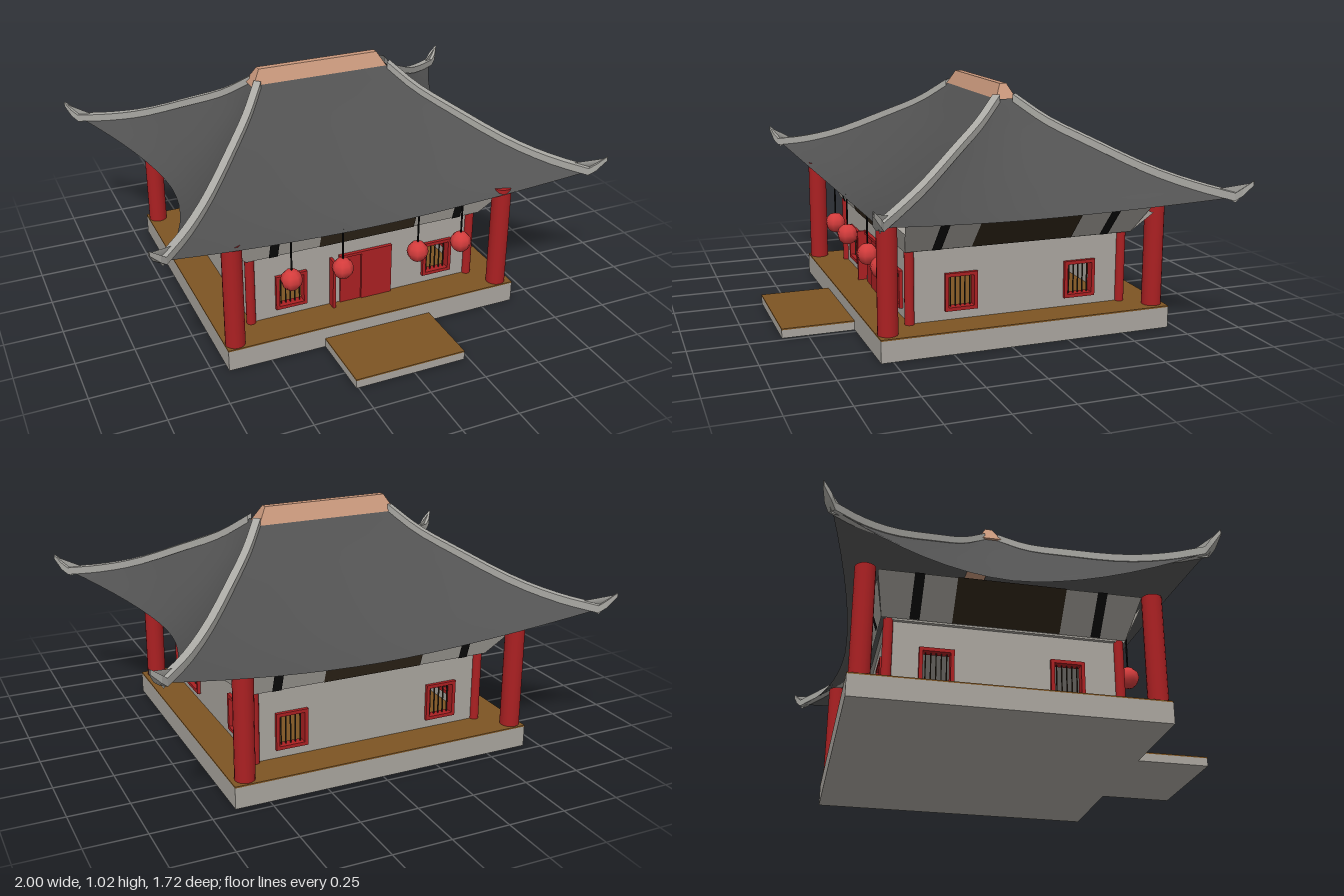
import * as THREE from 'three';

const mat = (name, color, double) => {
  const m = new THREE.MeshStandardMaterial({ color });
  m.name = name;
  if (double) m.side = THREE.DoubleSide;
  return m;
};

export function createModel() {
  const M = {
    stone: mat('stone', 0xaaa69f, true),
    floor: mat('brownFloor', 0x7d5423),
    red: mat('red', 0xab2022),
    lantern: mat('lanternRed', 0xd43c3c),
    tile: mat('roofGrey', 0x525252, true),
    trim: mat('trimGrey', 0xaaa9a4, true),
    ridge: mat('ridgeTan', 0xc8977b),
    black: mat('black', 0x0c0c0c, true),
    shade: mat('darkBrown', 0x30261a, true),
  };
  const root = new THREE.Group();
  const add = (name, geo, m, x = 0, y = 0, z = 0, parent = root) => {
    const mesh = new THREE.Mesh(geo, m);
    mesh.name = name;
    mesh.position.set(x, y, z);
    parent.add(mesh);
    return mesh;
  };
  // Box given by its limits
  const box = (name, m, x0, x1, y0, y1, z0, z1, parent) =>
    add(name, new THREE.BoxGeometry(x1 - x0, y1 - y0, z1 - z0), m,
      (x0 + x1) / 2, (y0 + y1) / 2, (z0 + z1) / 2, parent);
  // Indexed grid of rows of points
  const grid = (rows, closed) => {
    const n = rows[0].length, idx = [];
    for (let i = 0; i < rows.length - 1; i++)
      for (let j = 0; j < (closed ? n : n - 1); j++) {
        const k = (j + 1) % n, a = i * n + j, b = a + n, c = (i + 1) * n + k, d = i * n + k;
        idx.push(a, b, c, a, c, d);
      }
    const g = new THREE.BufferGeometry();
    g.setAttribute('position', new THREE.Float32BufferAttribute(rows.flat(2), 3));
    g.setIndex(idx);
    g.computeVertexNormals();
    return g;
  };

  // Platform and step
  box('platform', M.stone, -0.685, 0.645, 0, 0.09, -0.715, 0.55);
  box('platformFloor', M.floor, -0.685, 0.645, 0.09, 0.096, -0.715, 0.55);
  box('step', M.stone, -0.26, 0.23, 0, 0.035, 0.55, 0.86);
  box('stepFloor', M.floor, -0.26, 0.23, 0.035, 0.041, 0.55, 0.86);

  // Columns: large on the platform corners, small on the wall corners
  const column = (name, x, z, r, top) => add(name,
    new THREE.CylinderGeometry(r, r, top - 0.095, 16), M.red, x, (top + 0.095) / 2, z);
  for (const z of [0.505, -0.665]) for (const x of [-0.64, 0.585]) column('outerColumn', x, z, 0.042, 0.565);
  for (const z of [0.39, -0.555]) for (const x of [-0.53, 0.5]) column('wallColumn', x, z, 0.02, 0.405);

  // Walls with open, barred windows; each wall is made facing +z and turned into place
  const wall = (name, half, centres, x, z, turn) => {
    const g = new THREE.Group();
    g.name = name;
    const s = new THREE.Shape();
    s.moveTo(-half, 0.095).lineTo(half, 0.095).lineTo(half, 0.405).lineTo(-half, 0.405).closePath();
    for (const c of centres) {
      const h = new THREE.Path();
      h.moveTo(c - 0.06, 0.145).lineTo(c - 0.06, 0.285).lineTo(c + 0.06, 0.285).lineTo(c + 0.06, 0.145).closePath();
      s.holes.push(h);
      for (const e of [-1, 1]) {
        const sx = c + e * 0.0625, sy = 0.215 + e * 0.0725;
        box('windowFrame', M.red, sx - 0.0075, sx + 0.0075, 0.135, 0.295, -0.025, 0.015, g);
        box('windowFrame', M.red, c - 0.07, c + 0.07, sy - 0.0075, sy + 0.0075, -0.025, 0.015, g);
      }
      for (let i = -2; i <= 2; i++)
        box('windowBar', M.shade, c + i * 0.021 - 0.002, c + i * 0.021 + 0.002, 0.15, 0.28, -0.01, -0.004, g);
    }
    const geo = new THREE.ExtrudeGeometry(s, { depth: 0.02, bevelEnabled: false });
    add('wallPanel', geo, M.stone, 0, 0, -0.02, g);
    g.position.set(x, 0, z);
    g.rotation.y = turn;
    root.add(g);
  };
  wall('frontWall', 0.515, [-0.335, 0.355], -0.015, 0.39, 0);
  wall('backWall', 0.515, [-0.355, 0.335], -0.015, -0.555, Math.PI);
  wall('leftWall', 0.472, [-0.2525, 0.2775], 0.5, -0.0825, Math.PI / 2);
  wall('rightWall', 0.472, [-0.2775, 0.2525], -0.53, -0.0825, -Math.PI / 2);
  box('ceiling', M.stone, -0.545, 0.515, 0.4, 0.41, -0.57, 0.405);

  // Double door, one leaf standing forward
  box('doorLeaf', M.red, -0.125, -0.03, 0.096, 0.32, 0.388, 0.398);
  box('doorLeaf', M.red, -0.028, 0.115, 0.096, 0.328, 0.388, 0.404);
  box('doorLintel', M.red, -0.13, 0.115, 0.318, 0.33, 0.388, 0.406);
  box('doorPost', M.red, -0.172, -0.16, 0.096, 0.325, 0.388, 0.43);

  // Lanterns on cords
  for (const x of [-0.38, -0.15, 0.2, 0.41]) {
    const ball = add('lantern', new THREE.SphereGeometry(0.047, 8, 6), M.lantern, x, 0.32, 0.48);
    ball.rotation.y = 0.3;
    add('lanternCord', new THREE.CylinderGeometry(0.004, 0.004, 0.15, 6), M.black, x, 0.43, 0.48);
  }

  // Flared boards under the eaves, with black brackets and dark centre panels
  const board = (name, m, k, a0, a1, off) => {
    const alongX = k % 2 === 0;
    const out = alongX ? [0.5, 0.535] : [0.54, 0.665];
    const top = alongX ? 0.512 : 0.545;
    const row = (y, o, a) => [[-a + (a0 + a1), y, o + off], [a, y, o + off]];
    const whole = a0 === -a1 && name === 'eaveBoard';
    const low = whole ? (alongX ? 0.54 : 0.5) : a1, high = whole ? (alongX ? 0.665 : 0.535) : a1;
    const g = grid([row(top, out[1], high), row(0.405, out[0], low)]);
    g.rotateY(k * Math.PI / 2);
    add(name, g, m, -0.01, 0, -0.085);
  };
  for (let k = 0; k < 4; k++) {
    const b = k % 2 ? 0.37 : 0.425;
    board('eaveBoard', M.stone, k, -1, 1, 0);
    board('eavePanel', M.shade, k, -0.22, 0.22, 0.004);
    for (const s of [-1, 1]) board('eaveBracket', M.black, k, s * b - 0.02, s * b + 0.02, 0.005);
  }

  // Roof: four sagging slopes between curved hips
  const RX = -0.002, RZ = -0.097;
  const hip = new THREE.CatmullRomCurve3([
    [0.31, 0.965, 0.04], [0.40, 0.878, 0.15], [0.52, 0.80, 0.29],
    [0.69, 0.70, 0.48], [0.82, 0.65, 0.615], [0.94, 0.622, 0.725],
  ].map((p) => new THREE.Vector3(...p)));
  const NV = 12, NU = 16;
  for (let k = 0; k < 4; k++) {
    const alongX = k % 2 === 0;
    const rows = [];
    for (let i = 0; i <= NV; i++) {
      const v = i / NV, p = hip.getPoint(v);
      const along = alongX ? p.x : p.z, out = alongX ? p.z : p.x;
      const row = [];
      for (let j = 0; j <= NU; j++) {
        const t = (j / NU) * 2 - 1;
        const sag = (1 - Math.abs(t) ** 1.8) * v ** 1.6;
        row.push([along * t, p.y - sag * (alongX ? 0.133 : 0.083), out - sag * (alongX ? 0.14 : 0.235)]);
      }
      rows.push(row);
    }
    const g = grid(rows);
    g.rotateY(k * Math.PI / 2);
    add('roofSlope', g, M.tile, RX, 0, RZ);
  }

  // Hip trims, sweeping up into pointed tips
  const path = hip.getPoints(14).concat([new THREE.Vector3(0.965, 0.645, 0.742), new THREE.Vector3(0.999, 0.69, 0.764)]);
  for (const sx of [-1, 1]) for (const sz of [-1, 1]) {
    const rows = path.map((p, i) => {
      const last = path.length - 1;
      const w = i === last ? 0.002 : 0.012, h = i === last ? 0.008 : 0.02;
      const corner = (e, y) => [sx * (p.x + e * w), p.y + y, sz * (p.z - e * w)];
      return [corner(-1, -0.012), corner(-1, h), corner(1, h), corner(1, -0.012)];
    });
    let g = grid(rows, true).toNonIndexed();
    g.computeVertexNormals();
    add('hipTrim', g, M.trim, RX, 0, RZ);
    // Small dark-backed fin under each tip
    const fin = grid([
      [[sx * 0.86, 0.64, sz * 0.655], [sx * 0.94, 0.6, sz * 0.725]],
      [[sx * 0.95, 0.64, sz * 0.73], [sx * 0.998, 0.69, sz * 0.763]],
    ]);
    add('tipFin', fin, M.trim, RX, 0, RZ);
  }

  // Ridge cap: a box narrowed towards its top
  const cap = new THREE.BoxGeometry(0.64, 0.07, 0.1);
  const pos = cap.attributes.position;
  for (let i = 0; i < pos.count; i++)
    if (pos.getY(i) > 0) {
      pos.setX(i, pos.getX(i) * 0.87);
      pos.setZ(i, pos.getZ(i) * 0.3);
    }
  cap.computeVertexNormals();
  add('ridgeCap', cap, M.ridge, -0.015, 0.99, -0.104);

  return root;
}
